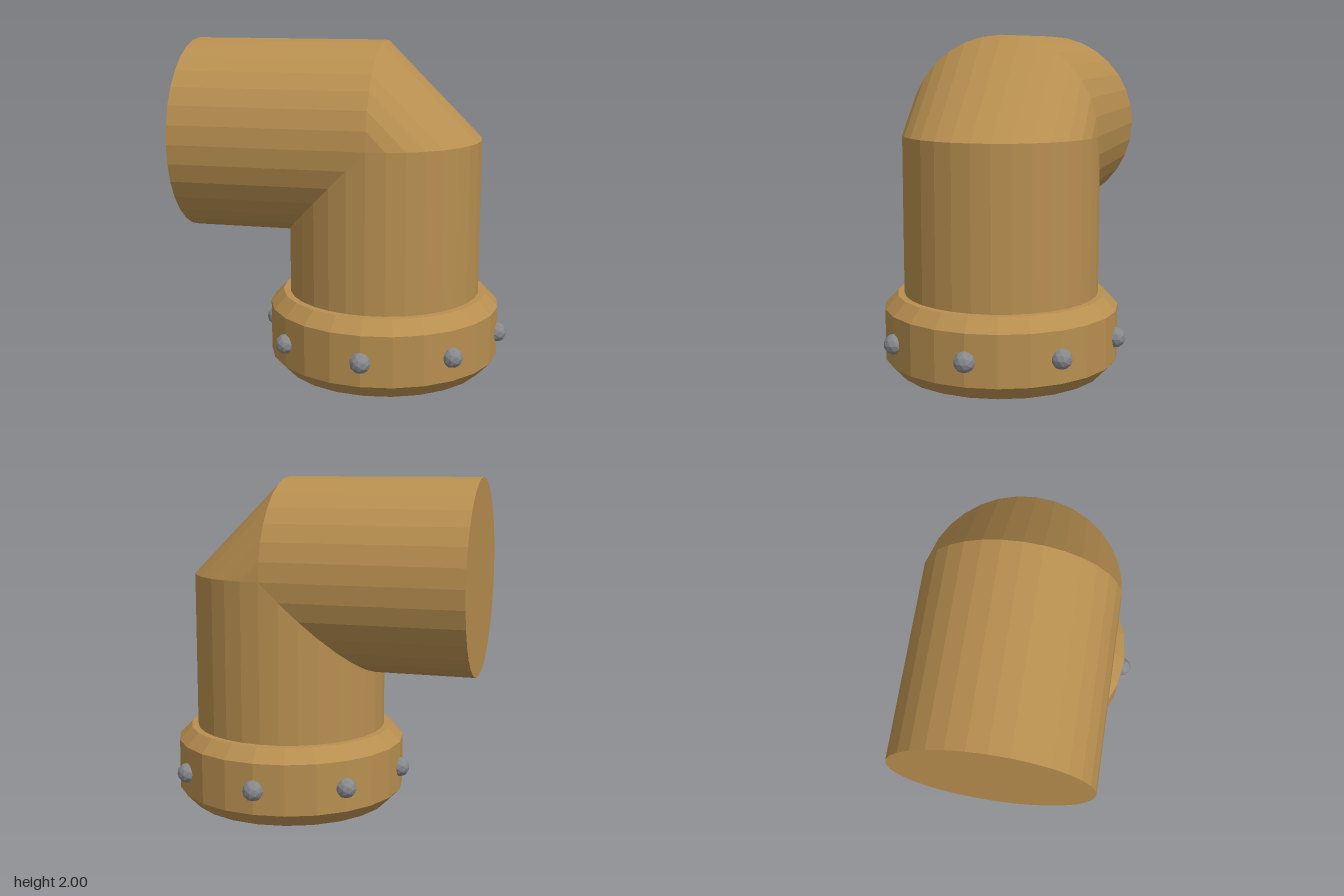
import * as THREE from 'three';

const R = 0.585;        // pipe radius
const CX = 0.205;       // axis of the upright pipe
const CY = 1.415;       // axis of the level pipe
const END_X = -0.97;
const SIDES = 32;

const brass = new THREE.MeshStandardMaterial({ color: 0xb88f50, flatShading: true });
brass.name = 'brass';
const steel = new THREE.MeshStandardMaterial({ color: 0x86888c, flatShading: true });
steel.name = 'steel';

// Cross-sections along the elbow; s is the offset towards the outside of the bend
const sections = [
  (s) => [CX + s, 0.3],
  (s) => [CX + s, CY + Math.min(s, 0)],
  (s) => [CX + Math.min(s, 0), CY + s],
  (s) => [END_X, CY + s],
];

function pipeGeometry() {
  const pos = [];
  const point = (k, i) => {
    const a = (i / SIDES) * Math.PI * 2;
    const [x, y] = sections[k](R * Math.sin(a));
    return [x, y, R * Math.cos(a)];
  };
  for (let i = 0; i < SIDES; i++) {
    for (let k = 0; k < 3; k++) {
      // the bend is cut to a plain mitre on its inner half
      if (k === 1 && i >= SIDES / 2) continue;
      const a = point(k, i), b = point(k, i + 1);
      const c = point(k + 1, i + 1), d = point(k + 1, i);
      pos.push(...a, ...b, ...c, ...a, ...c, ...d);
    }
    // closed end of the level pipe
    pos.push(END_X, CY, 0, ...point(3, i), ...point(3, i + 1));
  }
  const geo = new THREE.BufferGeometry();
  geo.setAttribute('position', new THREE.Float32BufferAttribute(pos, 3));
  geo.computeVertexNormals();
  return geo;
}

export function createModel() {
  const group = new THREE.Group();
  group.name = 'pipeElbow';

  const pipe = new THREE.Mesh(pipeGeometry(), brass);
  pipe.name = 'bentPipe';
  group.add(pipe);

  // Bevelled collar with a recessed opening underneath
  const profile = [
    [0, 0.2], [0.445, 0.2], [0.465, 0.12], [0.465, 0.04], [0.515, 0],
    [0.625, 0], [0.705, 0.085], [0.705, 0.39], [0.628, 0.47], [0.57, 0.47],
  ].map(([r, y]) => new THREE.Vector2(r, y));
  const collar = new THREE.Mesh(new THREE.LatheGeometry(profile, 24), brass);
  collar.name = 'collar';
  collar.position.x = CX;
  group.add(collar);

  // Eight rivets around the collar
  const rivetGeo = new THREE.IcosahedronGeometry(0.062, 1);
  const rivets = new THREE.Group();
  rivets.name = 'rivets';
  for (let i = 0; i < 8; i++) {
    const a = (i / 8) * Math.PI * 2;
    const rivet = new THREE.Mesh(rivetGeo, steel);
    rivet.name = 'rivet';
    rivet.position.set(CX + 0.703 * Math.cos(a), 0.23, 0.703 * Math.sin(a));
    rivets.add(rivet);
  }
  group.add(rivets);

  return group;
}
